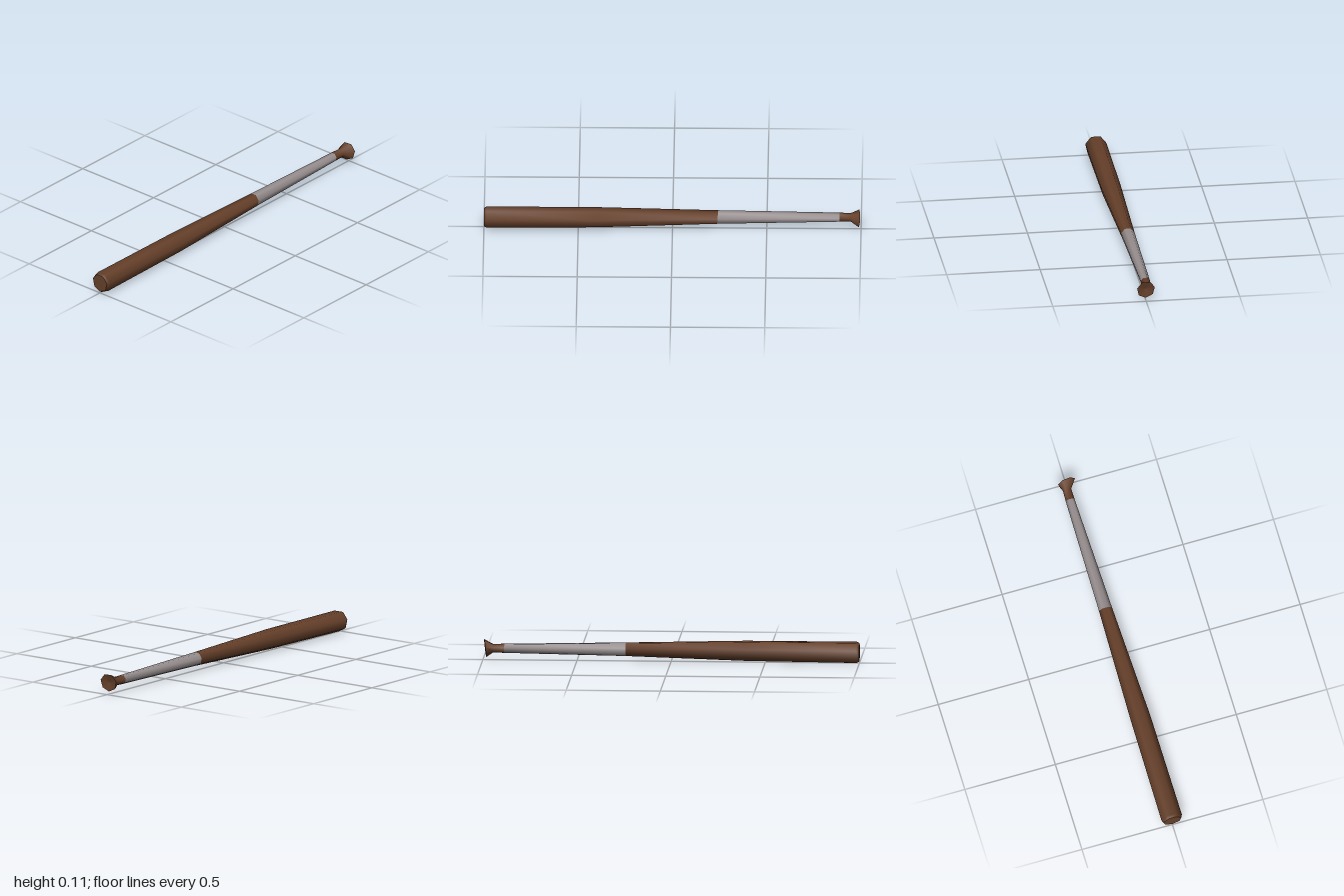
import * as THREE from 'three';

const SIDES = 7;

// Skin a row of seven-sided rings along x. Ring: [x, radius, centre y, centre z, tilt]
function loft(rings) {
  const pos = [], index = [];
  for (const [x, r, cy, cz, tilt = 0] of rings) {
    for (let i = 0; i < SIDES; i++) {
      const a = (i / SIDES) * Math.PI * 2;
      const dy = -r * Math.cos(a), dz = r * Math.sin(a);
      pos.push(x + tilt * (dy + dz), cy + dy, cz + dz);
    }
  }
  for (let k = 0; k < rings.length - 1; k++) {
    for (let i = 0; i < SIDES; i++) {
      const j = (i + 1) % SIDES;
      const a = k * SIDES + i, b = k * SIDES + j;
      const c = a + SIDES, d = b + SIDES;
      index.push(a, c, b, b, c, d);
    }
  }
  const g = new THREE.BufferGeometry();
  g.setAttribute('position', new THREE.Float32BufferAttribute(pos, 3));
  g.setIndex(index);
  g.computeVertexNormals();
  return g;
}

export function createModel() {
  const wood = new THREE.MeshStandardMaterial({ color: 0x66402a });
  wood.name = 'brown wood';
  const tape = new THREE.MeshStandardMaterial({ color: 0x999090 });
  tape.name = 'grey grip tape';

  const bat = new THREE.Group();
  bat.name = 'bat';
  const add = (name, rings, material) => {
    const mesh = new THREE.Mesh(loft(rings), material);
    mesh.name = name;
    bat.add(mesh);
  };

  // Rings shared by neighbouring parts
  const tip = [-1, 0.05, 0.058, 0];
  const gripStart = [0.24, 0.037, 0.064, -0.005];
  const gripEnd = [0.885, 0.025, 0.064, -0.011];
  const knobRim = [0.988, 0.049, 0.063, 0, 0.11];

  // Barrel with a small bevel at its flat end
  add('barrelEnd', [[-1, 0, 0.058, 0], tip], wood);
  add('barrel', [tip, [-0.985, 0.058, 0.058, 0], [-0.4, 0.055, 0.061, 0], gripStart], wood);

  // Taped handle
  add('grip', [gripStart, gripEnd], tape);

  // Bare neck flaring into a slanted knob with a shallow dished end
  add('neck', [gripEnd, [0.945, 0.023, 0.064, -0.01], knobRim], wood);
  add('knobEnd', [knobRim, [0.978, 0, 0.064, 0]], wood);

  return bat;
}
